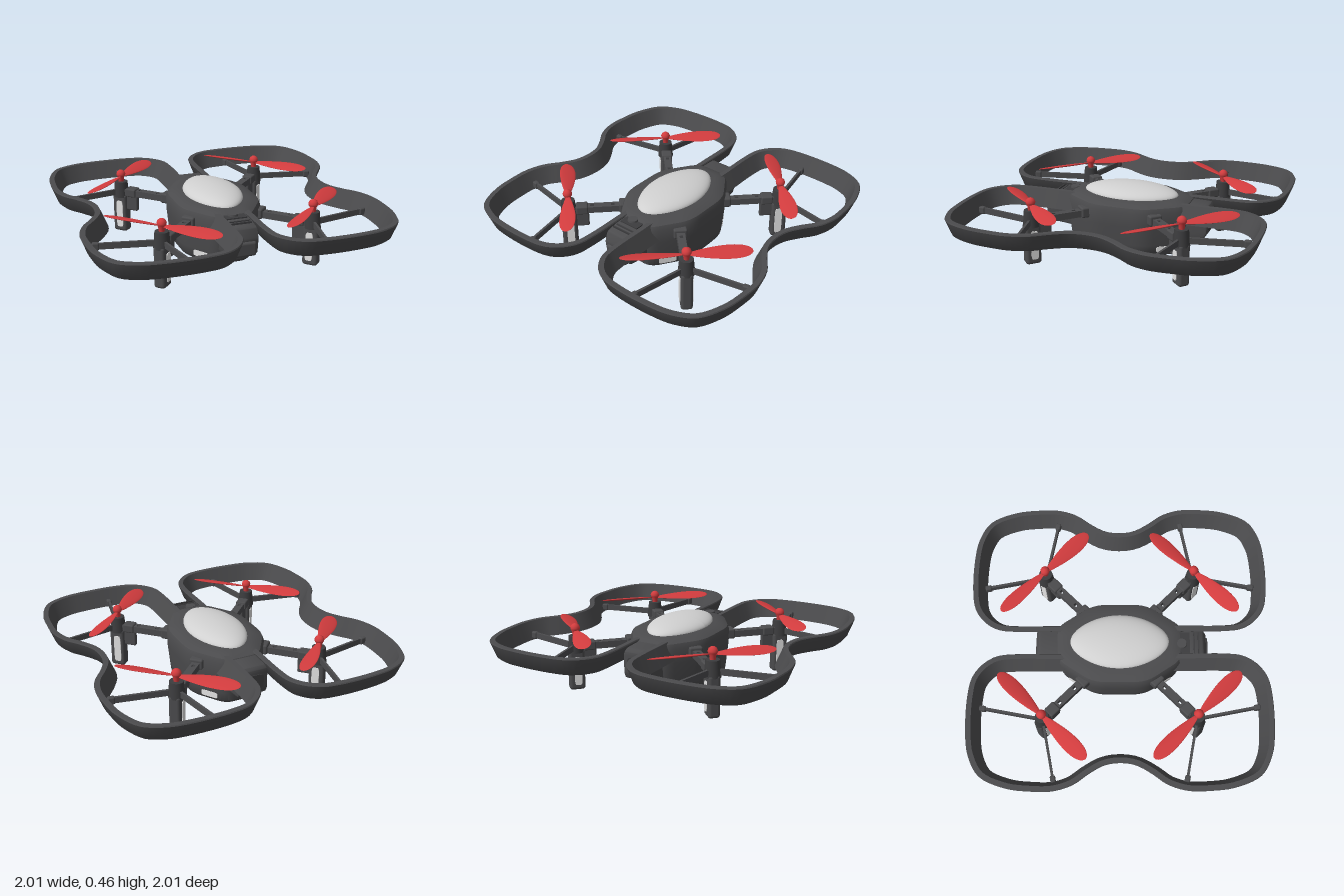
import * as THREE from 'three';
import { toCreasedNormals } from 'three/addons/utils/BufferGeometryUtils.js';
import { RoundedBoxGeometry } from 'three/addons/geometries/RoundedBoxGeometry.js';

const V = (x, y, z) => new THREE.Vector3(x, y, z);
const material = (name, color) => {
  const m = new THREE.MeshStandardMaterial({ color });
  m.name = name;
  return m;
};

function add(parent, name, geometry, mat, x = 0, y = 0, z = 0) {
  const mesh = new THREE.Mesh(geometry, mat);
  mesh.name = name;
  mesh.position.set(x, y, z);
  parent.add(mesh);
  return mesh;
}

// Skin stacked closed rings; either cap both ends or join the last ring to the first.
function loft(rings, joined) {
  const n = rings[0].length, count = rings.length, pts = rings.flat(), index = [];
  for (let i = 0; i < (joined ? count : count - 1); i++) {
    const low = i * n, high = ((i + 1) % count) * n;
    for (let j = 0; j < n; j++) {
      const k = (j + 1) % n;
      index.push(low + j, high + j, low + k, low + k, high + j, high + k);
    }
  }
  if (!joined) {
    const top = (count - 1) * n, bottomMid = pts.length, topMid = bottomMid + 1;
    pts.push(V(0, rings[0][0].y, 0), V(0, rings[count - 1][0].y, 0));
    for (let j = 0; j < n; j++) {
      const k = (j + 1) % n;
      index.push(j, k, bottomMid, top + j, topMid, top + k);
    }
  }
  const g = new THREE.BufferGeometry().setFromPoints(pts);
  g.setIndex(index);
  return toCreasedNormals(g, 0.6);
}

// Polygon with softened corners
function softShape(points, soft) {
  const p = points.map(([x, y]) => new THREE.Vector2(x, y)), s = new THREE.Shape();
  p.forEach((c, i) => {
    const a = c.clone().lerp(p[(i + p.length - 1) % p.length], soft);
    const b = c.clone().lerp(p[(i + 1) % p.length], soft);
    if (i) s.lineTo(a.x, a.y); else s.moveTo(a.x, a.y);
    s.quadraticCurveTo(c.x, c.y, b.x, b.y);
  });
  s.closePath();
  return s;
}

// Thin rounded plate facing +z
function plate(w, h, depth = 0.009) {
  const x = w / 2, y = h / 2;
  const s = softShape([[-x, -y], [x, -y], [x, y], [-x, y]], 0.22);
  return new THREE.ExtrudeGeometry(s, { depth, bevelEnabled: false, curveSegments: 4 });
}

// Side profile in (z, y), extruded across x
function crossBlock(points, width) {
  const bevel = 0.012, depth = width - 2 * bevel;
  const g = new THREE.ExtrudeGeometry(softShape(points, 0.15), {
    depth, bevelSize: bevel, bevelThickness: bevel, bevelOffset: -bevel, bevelSegments: 2, curveSegments: 3,
  });
  return toCreasedNormals(g.translate(0, 0, -depth / 2).rotateY(-Math.PI / 2), 0.5);
}

// Flared wall following a kidney-shaped outline
function guardGeometry() {
  const half = [[0.835, 0.1], [0.89, 0.2], [0.96, 0.3], [1, 0.43], [1, 0.58], [0.98, 0.73], [0.903, 0.9],
    [0.77, 0.975], [0.62, 1], [0.37, 1], [0.24, 0.975], [0.15, 0.91], [0.095, 0.82], [0.08, 0.7], [0.08, 0.45], [0.08, 0.15]];
  const outline = [[0.82, 0], ...half, ...half.map(([x, z]) => [x, -z]).reverse()];
  const curve = new THREE.CatmullRomCurve3(outline.map(([x, z]) => V(x, 0, z)), true);
  const n = 140;
  const profile = [[0.052, 0.268], [0.038, 0.28], [0, 0.38], [0.004, 0.387], [0.036, 0.387], [0.085, 0.268]];
  return loft(profile.map(([inset, y]) => Array.from({ length: n }, (_, i) => {
    const p = curve.getPointAt(i / n), t = curve.getTangentAt(i / n);
    return V(p.x - t.z * inset, y, p.z + t.x * inset);
  })), true);
}

// Twisted blade, root at the origin and tip along +z
function bladeGeometry() {
  const g = new THREE.SphereGeometry(1, 20, 20).rotateX(Math.PI / 2), p = g.attributes.position;
  for (let i = 0; i < p.count; i++) {
    const s = (p.getZ(i) + 1) / 2;
    const x = p.getX(i) * 0.068 * (0.4 + 0.65 * s);
    p.setXYZ(i, x, p.getY(i) * 0.008 + x * 0.27, s * 0.41);
  }
  g.computeVertexNormals();
  return g;
}

// Arm with two slots, lying along +x
function armGeometry() {
  const bar = (x0, x1, w) => [[x0, -w], [x1, -w], [x1, w], [x0, w]].map(([x, y]) => new THREE.Vector2(x, y));
  const s = new THREE.Shape(bar(0.26, 0.7, 0.027));
  for (const x of [0.41, 0.55]) s.holes.push(new THREE.Path(bar(x, x + 0.025, 0.011).reverse()));
  return new THREE.ExtrudeGeometry(s, { depth: 0.045, bevelEnabled: false }).rotateX(-Math.PI / 2);
}

export function createModel() {
  const model = new THREE.Group();
  model.name = 'quadcopter';
  const dark = material('charcoal plastic', 0x4b4b4d);
  const deep = material('dark trim', 0x3c3c3e);
  const red = material('propeller red', 0xd23c3e);
  const pale = material('canopy grey', 0xd0d0d0);
  const white = material('light strip white', 0xe2e2e2);

  // Hull: softened octagon scaled per level
  const octagon = [[0.285, -0.18], [0.285, 0.18], [0.12, 0.43], [-0.12, 0.43],
    [-0.285, 0.18], [-0.285, -0.18], [-0.12, -0.43], [0.12, -0.43]];
  const plan = softShape(octagon, 0.25).getPoints(5);
  if (plan[0].distanceTo(plan[plan.length - 1]) < 1e-4) plan.pop();
  const levels = [[0.02, 0.62, 0.58], [0.026, 0.76, 0.76], [0.04, 0.87, 0.89], [0.065, 0.935, 0.945], [0.12, 0.955, 0.965],
    [0.25, 1, 1], [0.345, 1.01, 1], [0.375, 0.97, 0.97], [0.39, 0.86, 0.9], [0.4, 0.7, 0.8]];
  add(model, 'hull', loft(levels.map(([y, sx, sz]) => plan.map(p => V(p.x * sx, y, p.y * sz))), false), dark);

  // Canopy with slightly pointed ends
  const canopy = new THREE.SphereGeometry(1, 48, 16, 0, Math.PI * 2, 0, Math.PI / 2);
  const cp = canopy.attributes.position;
  for (let i = 0; i < cp.count; i++) {
    const z = cp.getZ(i);
    cp.setXYZ(i, cp.getX(i) * 0.19 * (1 - 0.14 * z * z), cp.getY(i) * 0.067, z * 0.33);
  }
  canopy.computeVertexNormals();
  add(model, 'canopy', canopy, pale, 0, 0.396, 0);

  // Nose with camera housing and button
  add(model, 'nose', crossBlock([[0.3, 0.375], [0.49, 0.37], [0.565, 0.345], [0.59, 0.27], [0.575, 0.16], [0.3, 0.13]], 0.205), dark);
  add(model, 'cameraHousing', new RoundedBoxGeometry(0.17, 0.1, 0.06, 3, 0.018), dark, 0, 0.21, 0.572);
  add(model, 'buttonPlate', new THREE.BoxGeometry(0.14, 0.008, 0.1), deep, 0, 0.377, 0.42);
  add(model, 'button', new THREE.CylinderGeometry(0.033, 0.036, 0.016, 24), dark, -0.01, 0.385, 0.415);
  for (const z of [0.5, 0.53]) add(model, 'noseRib', new THREE.BoxGeometry(0.15, 0.012, 0.009), deep, 0, 0.366, z);

  // Tail with rear hatch
  add(model, 'tail', crossBlock([[-0.3, 0.13], [-0.54, 0.16], [-0.56, 0.2], [-0.56, 0.34], [-0.54, 0.365], [-0.3, 0.375]], 0.205), dark);
  add(model, 'rearHatch', plate(0.14, 0.1), deep, 0, 0.26, -0.556).rotation.y = Math.PI;

  // Lamps on the four slanted hull faces
  for (const sx of [-1, 1]) for (const sz of [-1, 1]) {
    const lamp = add(model, 'hullLamp', plate(0.12, 0.04), white, sx * 0.182, 0.09, sz * 0.299);
    lamp.rotation.y = Math.atan2(sx * 0.834, sz * 0.552);
  }

  // Propeller guards
  const guard = guardGeometry();
  add(model, 'leftGuard', guard, dark);
  add(model, 'rightGuard', guard, dark).rotation.y = Math.PI;

  // Four rotor pods, built along +x and turned to each corner
  const blade = bladeGeometry(), arm = armGeometry(), strip = plate(0.05, 0.195);
  const leg = new RoundedBoxGeometry(0.105, 0.28, 0.078, 3, 0.02);
  const hub = new THREE.LatheGeometry([[0.018, 0.37], [0.022, 0.405], [0.03, 0.418], [0.032, 0.43], [0.026, 0.446], [0.013, 0.456], [0, 0.459]]
    .map(([r, y]) => new THREE.Vector2(r, y)), 24);
  const motorR = 0.72;
  for (let k = 0; k < 4; k++) {
    const pod = new THREE.Group();
    pod.name = 'rotorPod';
    pod.rotation.y = Math.PI / 4 + k * Math.PI / 2;
    model.add(pod);

    add(pod, 'arm', arm, dark, 0, 0.28, 0);
    add(pod, 'armRoot', new RoundedBoxGeometry(0.1, 0.07, 0.09, 2, 0.012), dark, 0.33, 0.31, 0);
    add(pod, 'armCollar', new RoundedBoxGeometry(0.08, 0.06, 0.075, 2, 0.01), dark, 0.63, 0.305, 0);
    add(pod, 'legBracket', new RoundedBoxGeometry(0.09, 0.13, 0.035, 2, 0.01), dark, 0.63, 0.235, 0);
    add(pod, 'leg', leg, dark, motorR, 0.146, 0);
    add(pod, 'motor', new THREE.CylinderGeometry(0.045, 0.055, 0.11, 24), deep, motorR, 0.32, 0);
    add(pod, 'hub', hub, red, motorR, 0, 0);

    for (const side of [0, 1]) {
      const turn = side * Math.PI, s = side ? -1 : 1;
      add(pod, 'propellerBlade', blade, red, motorR, 0.41, 0).rotation.y = turn;
      add(pod, 'legLight', strip, white, motorR - 0.005, 0.14, s * 0.035).rotation.y = turn;

      // Strut from motor to guard, with an end clip
      const strut = new THREE.Group();
      strut.name = 'strut';
      strut.position.set(motorR, 0.3, 0);
      strut.rotation.y = -s * Math.atan2(0.346, 0.235);
      pod.add(strut);
      add(strut, 'strutBar', new THREE.BoxGeometry(0.42, 0.04, 0.016), dark, 0.21, 0, 0);
      add(strut, 'strutClip', new RoundedBoxGeometry(0.045, 0.05, 0.035, 2, 0.01), dark, 0.405, 0, 0);
    }
  }
  return model;
}
